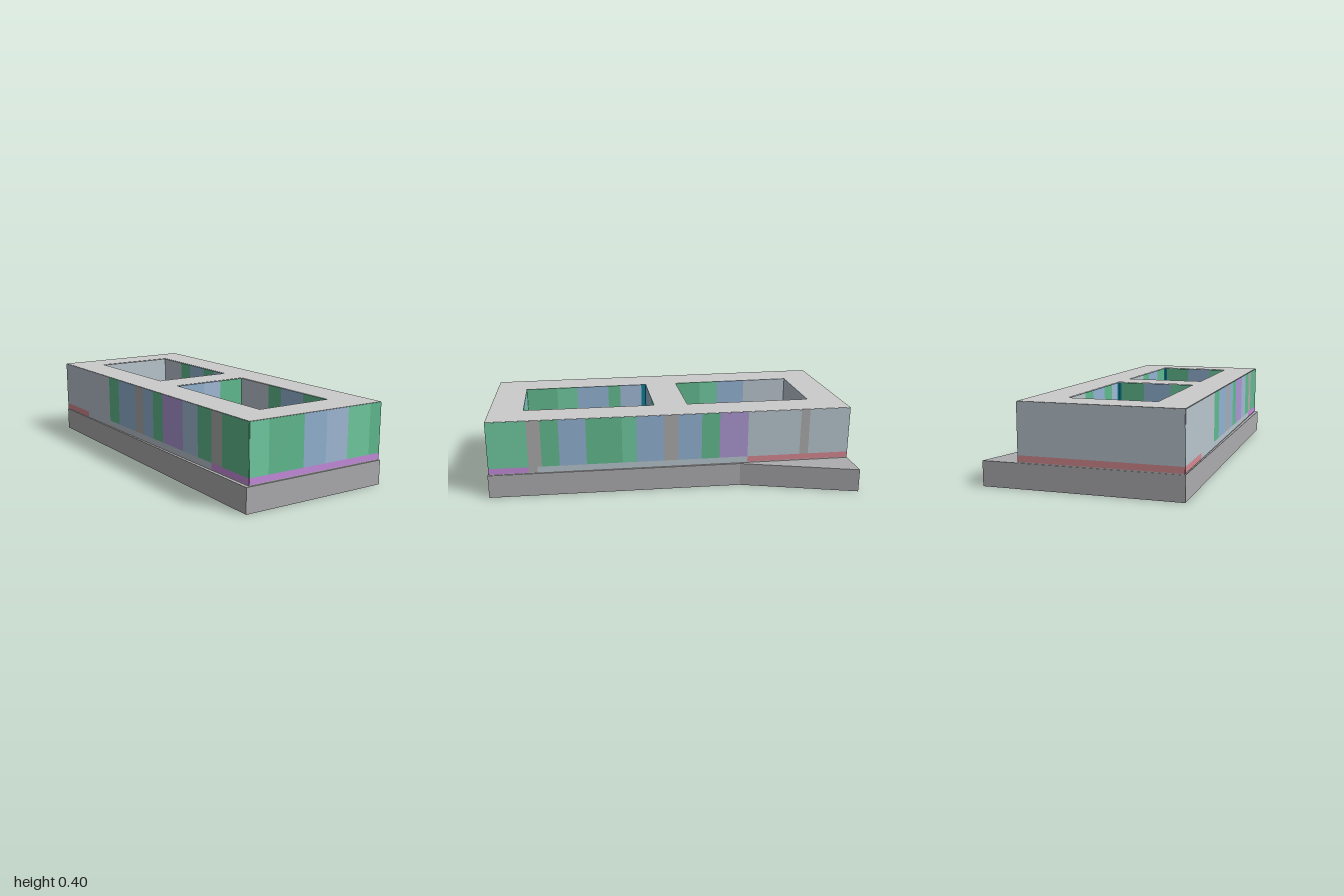
import * as THREE from 'three';

const COLORS = {
  g: 0x62bb90, l: 0x70cba2, b: 0x93b3d3, s: 0xa2bad6, p: 0xab97d2, t: 0xababab,
  w: 0xb8c5ce, m: 0xc58cdc, r: 0xd58a92, c: 0x0a7d95,
};
const materials = new Map();
function paint(color) {
  if (!materials.has(color)) materials.set(color, new THREE.MeshStandardMaterial({ color, flatShading: true }));
  return materials.get(color);
}

// Plan outlines as [x, z] corners
const BASE = [[-0.22, -1], [0.7, -0.76], [0.38, -0.24], [0.02, 1], [-0.705, 0.77]];
const BLOCK = [[-0.217, -0.997], [0.528, -0.8], [0.017, 0.992], [-0.685, 0.768]];
const COURTS = [
  [[-0.1, -0.79], [0.315, -0.68], [0.135, -0.045], [-0.265, -0.155]],
  [[-0.31, 0.01], [0.085, 0.12], [-0.1, 0.775], [-0.48, 0.665]],
];

// Facade panels: letter = colour, number = where the panel ends along the wall
const FACADES = {
  front: [['l', 0.135], ['g', 0.39], ['b', 0.56], ['s', 0.73], ['l', 0.91], ['g', 1]],
  right: [['l', 0.106], ['t', 0.142], ['g', 0.19], ['b', 0.263], ['g', 0.36], ['l', 0.4], ['b', 0.475], ['t', 0.515],
    ['b', 0.58], ['g', 0.63], ['p', 0.71], ['w', 0.86], ['t', 0.885], ['w', 1]],
  left: [['w', 0.31], ['g', 0.37], ['b', 0.47], ['t', 0.515], ['b', 0.57], ['g', 0.62], ['p', 0.72], ['s', 0.79],
    ['g', 0.85], ['t', 0.895], ['g', 1]],
  back: [['w', 1]],
};
const BANDS = {
  front: [['m', 1]],
  right: [['m', 0.106], ['t', 0.13], ['w', 0.71], ['r', 1]],
  left: [['r', 0.16], ['w', 0.85], ['m', 1]],
  back: [['r', 1]],
};

// Courtyard walls in order: back, right, front, left
const COURT_WALLS = [
  [[['w', 1]],
    [['w', 0.3], ['g', 0.45], ['b', 0.68], ['g', 0.84], ['s', 0.96], ['c', 1]],
    [['c', 0.04], ['g', 0.35], ['b', 0.7], ['l', 1]],
    [['g', 0.22], ['l', 0.38], ['b', 0.62], ['w', 1]]],
  [[['c', 0.05], ['b', 0.4], ['s', 0.65], ['g', 1]],
    [['w', 0.35], ['g', 0.5], ['b', 0.75], ['g', 0.96], ['c', 1]],
    [['c', 0.04], ['g', 0.4], ['b', 0.75], ['l', 1]],
    [['g', 0.25], ['l', 0.42], ['b', 0.68], ['g', 0.78], ['s', 0.96], ['c', 1]]],
];

const TREES = [
  [-0.11, -0.635], [-0.035, -0.67], [0.03, -0.65], [-0.005, -0.6], [0.115, -0.61], [0.24, -0.545], [0.105, -0.515],
  [0.005, -0.45], [0.045, -0.435], [0.12, -0.425], [0.205, -0.395], [-0.12, -0.415], [-0.17, -0.36], [-0.02, -0.33],
  [0.025, -0.275], [0.09, -0.3], [0.12, -0.24], [-0.165, -0.21], [-0.13, -0.22], [-0.125, -0.145], [0.07, -0.11],
  [0.115, -0.115], [0.07, -0.075],
  [-0.13, 0.09], [0.005, 0.12], [0.025, 0.17], [-0.28, 0.15], [-0.265, 0.17], [-0.105, 0.16], [-0.19, 0.23],
  [-0.28, 0.28], [-0.3, 0.33], [-0.255, 0.32], [-0.215, 0.325], [-0.135, 0.4], [-0.39, 0.445], [-0.31, 0.45],
  [-0.285, 0.465], [-0.225, 0.455], [-0.105, 0.485], [-0.045, 0.46], [-0.035, 0.49], [-0.195, 0.545], [-0.25, 0.58],
  [-0.19, 0.59], [-0.3, 0.61], [-0.335, 0.645], [-0.265, 0.64], [-0.44, 0.645],
];

function add(parent, name, geometry, color) {
  const mesh = new THREE.Mesh(geometry, paint(color));
  mesh.name = name;
  parent.add(mesh);
  return mesh;
}

// Upright prism over a plan outline
function prism(outline, y0, y1, holes = []) {
  const points = (list) => list.map(([x, z]) => new THREE.Vector2(x, -z));
  const shape = new THREE.Shape(points(outline));
  for (const hole of holes) shape.holes.push(new THREE.Path(points(hole)));
  return new THREE.ExtrudeGeometry(shape, { depth: y1 - y0, bevelEnabled: false })
    .rotateX(-Math.PI / 2).translate(0, y0, 0);
}

function shrink(outline, factor) {
  const n = outline.length;
  const cx = outline.reduce((sum, p) => sum + p[0], 0) / n;
  const cz = outline.reduce((sum, p) => sum + p[1], 0) / n;
  return outline.map(([x, z]) => [cx + (x - cx) * factor, cz + (z - cz) * factor]);
}

// Row of thin panels along the wall from a to b
function wallPanels(parent, name, a, b, panels, y0, y1) {
  const row = new THREE.Group();
  row.name = name;
  const dx = b[0] - a[0], dz = b[1] - a[1], length = Math.hypot(dx, dz);
  let start = 0;
  for (const [key, end] of panels) {
    const mid = (start + end) / 2;
    const panel = add(row, 'panel', new THREE.BoxGeometry((end - start) * length, y1 - y0, 0.004), COLORS[key]);
    panel.position.set(a[0] + dx * mid, (y0 + y1) / 2, a[1] + dz * mid);
    panel.rotation.y = Math.atan2(-dz, dx);
    start = end;
  }
  parent.add(row);
}

export function createModel() {
  const model = new THREE.Group();
  model.name = 'courtyardBuilding';

  // Plinth with a shallow recess underneath
  add(model, 'plinth', prism(BASE, 0.025, 0.12), 0xadadb0);
  add(model, 'plinthRim', prism(BASE, 0, 0.025, [shrink(BASE, 0.985)]), 0xadadb0);

  // Building mass: solid floor, then walls and roof around two courtyards
  add(model, 'groundFloor', prism(BLOCK, 0.12, 0.155), 0xbababa);
  add(model, 'walls', prism(BLOCK, 0.155, 0.395, COURTS), 0xbababa);
  add(model, 'roof', prism(BLOCK, 0.395, 0.4, COURTS), 0xcccccc);

  // Outer facades
  const [backLeft, backRight, frontRight, frontLeft] = BLOCK;
  const sides = {
    front: [frontLeft, frontRight], right: [frontRight, backRight],
    left: [backLeft, frontLeft], back: [backLeft, backRight],
  };
  for (const [side, [a, b]] of Object.entries(sides)) {
    wallPanels(model, side + 'Facade', a, b, FACADES[side], 0.155, 0.398);
    wallPanels(model, side + 'Band', a, b, BANDS[side], 0.125, 0.155);
  }

  // Courtyards with coloured walls and lawns
  COURTS.forEach((court, i) => {
    const yard = new THREE.Group();
    yard.name = i ? 'frontCourtyard' : 'backCourtyard';
    court.forEach((corner, k) =>
      wallPanels(yard, 'courtyardWall', corner, court[(k + 1) % 4], COURT_WALLS[i][k], 0.155, 0.398));
    add(yard, 'lawn', prism(shrink(court, 0.95), 0.155, 0.165), 0xb9cba2);
    model.add(yard);
  });

  // Trees
  const crown = new THREE.IcosahedronGeometry(0.027, 0);
  const trunk = new THREE.CylinderGeometry(0.004, 0.004, 0.03, 5);
  TREES.forEach(([x, z], i) => {
    const tree = new THREE.Group();
    tree.name = 'tree';
    const top = add(tree, 'crown', crown, 0x35805a);
    top.position.y = 0.035;
    top.rotation.set(i * 1.3, i * 2.1, 0);
    top.scale.setScalar(0.85 + 0.1 * (i % 4));
    add(tree, 'trunk', trunk, 0x7a6248).position.y = 0.015;
    tree.position.set(x, 0.163, z);
    model.add(tree);
  });

  // Small fittings in the recess under the plinth
  for (const [x, z] of [[-0.24, -0.77], [-0.4, -0.15], [-0.57, 0.52], [0.06, 0.75], [0.25, 0.1]]) {
    const fitting = new THREE.Group();
    fitting.name = 'undersideFitting';
    add(fitting, 'body', new THREE.BoxGeometry(0.03, 0.014, 0.065), 0xcccccc).position.y = 0.018;
    for (const s of [-1, 1]) {
      add(fitting, 'foot', new THREE.BoxGeometry(0.036, 0.012, 0.014), 0xcccccc).position.set(0, 0.007, s * 0.02);
    }
    fitting.position.set(x, 0, z);
    fitting.rotation.y = -0.27;
    model.add(fitting);
  }
  return model;
}
